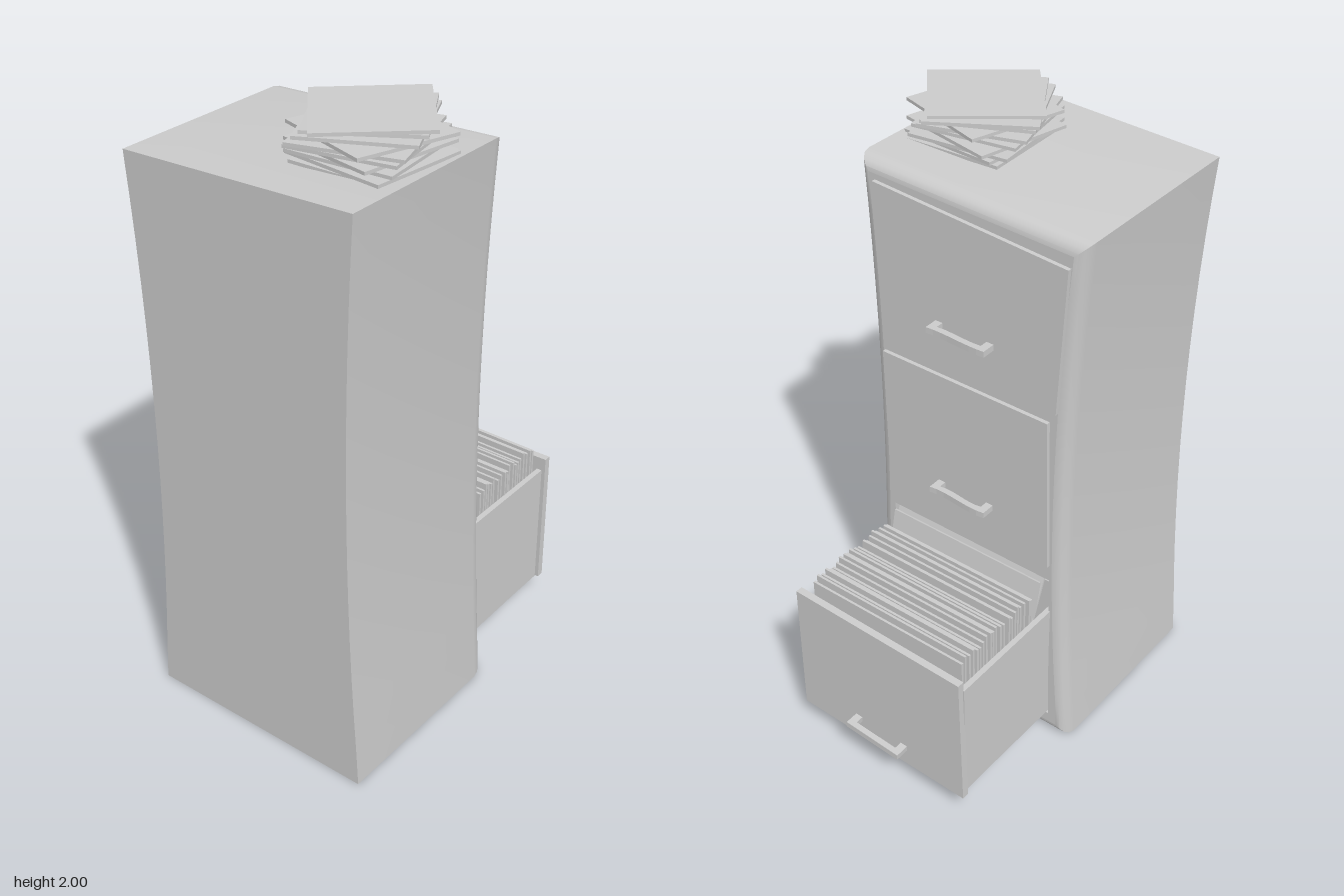
import * as THREE from 'three';
import { toCreasedNormals } from 'three/addons/utils/BufferGeometryUtils.js';

const grey = new THREE.MeshStandardMaterial({ color: 0xcccccc });
const greyDouble = new THREE.MeshStandardMaterial({ color: 0xcccccc, side: THREE.DoubleSide });

function add(parent, name, geometry, x = 0, y = 0, z = 0, material = grey) {
  const mesh = new THREE.Mesh(geometry, material);
  mesh.name = name;
  mesh.position.set(x, y, z);
  parent.add(mesh);
  return mesh;
}

const box = (w, h, d) => new THREE.BoxGeometry(w, h, d);

// small seeded generator, -1..1
function seeded(seed) {
  return () => {
    seed = (seed * 16807) % 2147483647;
    return (seed / 2147483647) * 2 - 1;
  };
}

const polygon = (pts) => new THREE.Shape(pts.map((p) => new THREE.Vector2(p[0], p[1])));

// waisted cabinet outline, counter-clockwise, drawn in by d; the top slopes to one side
function outline(d) {
  const n = 14, pts = [];
  for (const side of [1, -1]) {
    for (let i = 0; i <= n; i++) {
      const t = side > 0 ? i / n : 1 - i / n;
      const w = Math.min(1, ((t - 0.52) / 0.5) ** 2);
      const x = side > 0 ? 0.373 + 0.042 * w - d : -0.344 - 0.034 * w + d;
      const top = 1.856 - 0.038 * x - d;
      pts.push([x, d + (top - d) * t]);
    }
  }
  return pts;
}

// shell lofted through shrinking outlines, giving rounded front edges
function shellGeometry() {
  const rings = [[-0.58, 0], [0.03, 0], [0.052, 0.004], [0.068, 0.014], [0.077, 0.028], [0.08, 0.04]];
  const pos = [], index = [];
  const n = outline(0).length;
  for (const [z, d] of rings) for (const [x, y] of outline(d)) pos.push(x, y, z);
  for (let r = 0; r < rings.length - 1; r++) {
    for (let i = 0; i < n; i++) {
      const a = r * n + i, b = r * n + ((i + 1) % n);
      index.push(a, b, b + n, a, b + n, a + n);
    }
  }
  const g = new THREE.BufferGeometry();
  g.setAttribute('position', new THREE.Float32BufferAttribute(pos, 3));
  g.setIndex(index);
  return toCreasedNormals(g, 0.6);
}

function addBody(parent) {
  add(parent, 'bodyShell', shellGeometry());
  const back = add(parent, 'bodyBack', new THREE.ShapeGeometry(polygon(outline(0).map(([x, y]) => [-x, y]))), 0, 0, -0.58);
  back.rotation.y = Math.PI;

  // front face with the opening of the bottom drawer
  const opening = [[-0.305, 0.075], [0.342, 0.075], [0.328, 0.65], [-0.286, 0.65]];
  const face = polygon(outline(0.04));
  face.holes.push(polygon(opening));
  add(parent, 'bodyFront', new THREE.ShapeGeometry(face), 0, 0, 0.08);

  // lining of the opening
  const lining = new THREE.ExtrudeGeometry(polygon(opening), { depth: 0.6, bevelEnabled: false });
  const p = lining.attributes.position;
  const kept = [];
  for (let i = 0; i < p.count; i += 3) {
    const isFrontCap = [0, 1, 2].every((k) => p.getZ(i + k) > 0.59);
    if (!isFrontCap) for (let k = 0; k < 3; k++) kept.push(p.getX(i + k), p.getY(i + k), p.getZ(i + k));
  }
  const open = new THREE.BufferGeometry();
  open.setAttribute('position', new THREE.Float32BufferAttribute(kept, 3));
  open.computeVertexNormals();
  add(parent, 'drawerBay', open, 0, 0, -0.52, greyDouble);
}

// U-shaped pull with a slightly wavy bar
function handle(parent, y, z, wave, tilt) {
  const s = new THREE.Shape();
  s.moveTo(-0.105, 0);
  s.lineTo(-0.105, 0.047);
  s.bezierCurveTo(-0.04, 0.047 - wave, 0.04, 0.047 + wave, 0.105, 0.047);
  s.lineTo(0.105, 0);
  s.lineTo(0.08, 0);
  s.lineTo(0.08, 0.027);
  s.bezierCurveTo(0.035, 0.027 + wave, -0.035, 0.027 - wave, -0.08, 0.027);
  s.lineTo(-0.08, 0);
  s.closePath();
  const g = new THREE.ExtrudeGeometry(s, { depth: 0.02, bevelEnabled: false, curveSegments: 8 });
  g.translate(0, 0, -0.01);
  g.rotateX(Math.PI / 2);
  add(parent, 'handle', g, 0.015, y, z).rotation.z = tilt;
}

function addOpenDrawer(parent) {
  const drawer = new THREE.Group();
  drawer.name = 'openDrawer';
  parent.add(drawer);

  const front = [[-0.312, 0.088], [0.344, 0.075], [0.33, 0.556], [-0.312, 0.572]];
  add(drawer, 'drawerFront', new THREE.ExtrudeGeometry(polygon(front), { depth: 0.024, bevelEnabled: false }), 0, 0, 0.506);
  handle(drawer, 0.155, 0.53, 0, -0.06);

  // tray
  const z0 = -0.05, z1 = 0.51, len = z1 - z0, mid = (z0 + z1) / 2;
  add(drawer, 'drawerSide', box(0.018, 0.44, len), -0.29, 0.305, mid);
  add(drawer, 'drawerSide', box(0.018, 0.44, len), 0.327, 0.305, mid);
  add(drawer, 'drawerBottom', box(0.635, 0.016, len), 0.0185, 0.09, mid).rotation.x = -0.02;
  add(drawer, 'drawerBack', box(0.62, 0.43, 0.015), 0.0185, 0.305, z0 + 0.008);

  // upright files
  const rnd = seeded(71);
  const count = 21;
  for (let i = 0; i < count; i++) {
    const h = 0.51 + 0.012 * rnd();
    const file = add(drawer, 'file', box(0.585, h, 0.008), 0.015 + 0.006 * rnd(), 0.1 + h / 2, 0.137 + i * 0.0174);
    file.rotation.x = 0.012 * rnd();
  }
  // files leaning back
  [[0.098, 0.57, -0.38], [0.111, 0.56, -0.22]].forEach(([z, y, lean]) => {
    add(drawer, 'leaningFile', box(0.58, 0.16, 0.007), 0.015, y, z).rotation.x = lean;
  });
}

function addPapers(parent) {
  const stack = new THREE.Group();
  stack.name = 'paperStack';
  stack.position.set(-0.175, 1.857, -0.25);
  parent.add(stack);
  const turns = [0.04, -0.08, 0.1, -0.2, 0.18, 0.3, -0.3, 0.45, 0.55, 0.69];
  const rnd = seeded(19);
  turns.forEach((turn, i) => {
    const last = i === turns.length - 1;
    const sheet = add(stack, 'paper', box(0.33, 0.01, 0.32), last ? 0 : 0.012 * rnd(), 0.007 + i * 0.0138, last ? 0 : 0.012 * rnd());
    sheet.rotation.set(0.018 * rnd(), turn, 0.018 * rnd());
  });
}

export function createModel() {
  const model = new THREE.Group();
  model.name = 'filingCabinet';

  // built facing +z, then turned to face +x
  const cabinet = new THREE.Group();
  cabinet.name = 'cabinet';
  cabinet.rotation.y = Math.PI / 2;
  model.add(cabinet);

  addBody(cabinet);

  // closed drawers
  const closed = [
    { pts: [[-0.28, 1.285], [0.34, 1.285], [0.365, 1.765], [-0.313, 1.81]], y: 1.425, wave: 0.008 },
    { pts: [[-0.29, 0.71], [0.328, 0.71], [0.312, 1.243], [-0.3, 1.243]], y: 0.84, wave: 0.014 },
  ];
  for (const { pts, y, wave } of closed) {
    add(cabinet, 'closedDrawerFront', new THREE.ExtrudeGeometry(polygon(pts), { depth: 0.014, bevelEnabled: false }), 0, 0, 0.079);
    handle(cabinet, y, 0.092, wave, 0);
  }

  addOpenDrawer(cabinet);
  addPapers(cabinet);
  return model;
}
